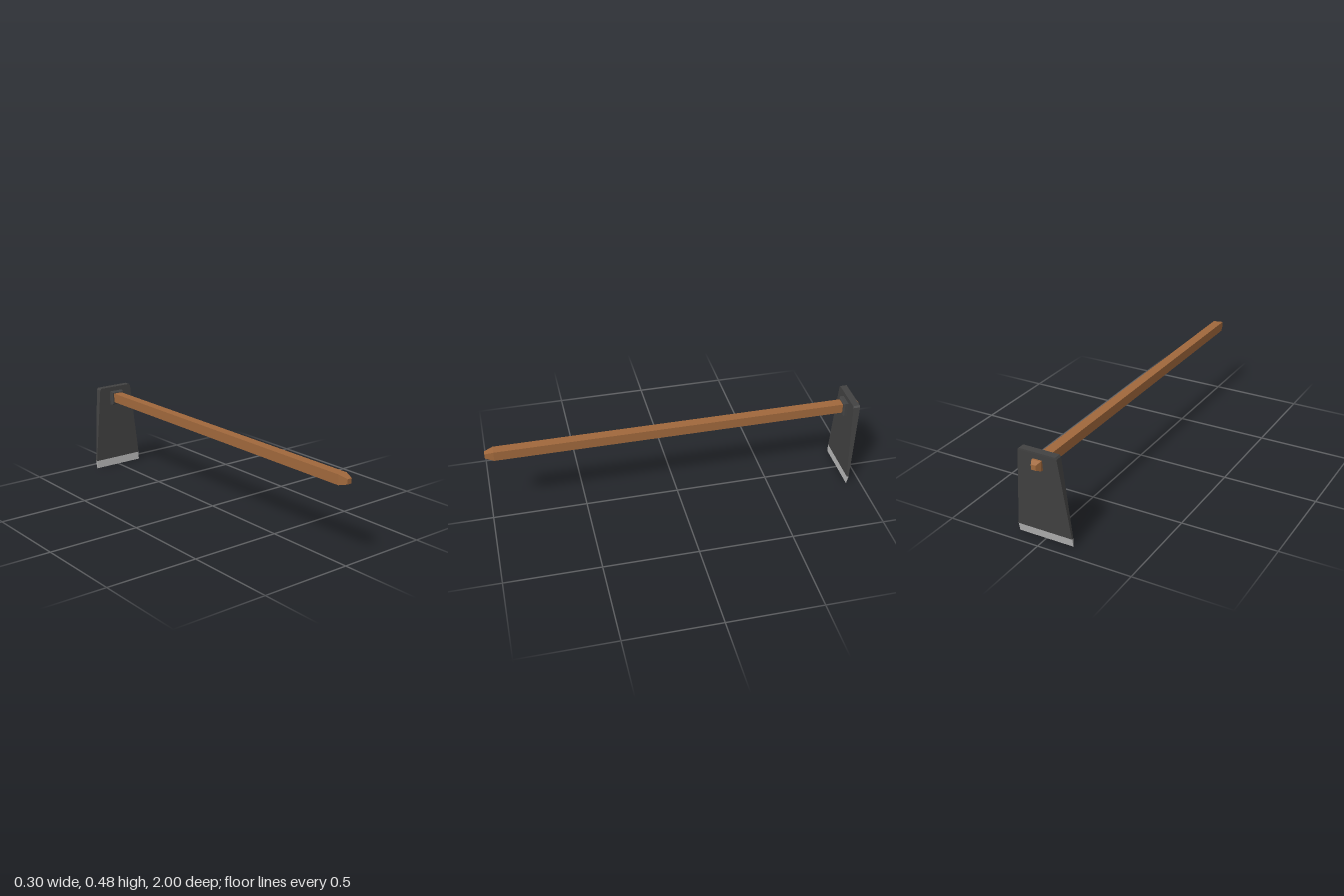
import * as THREE from 'three';

const steel = new THREE.MeshStandardMaterial({ color: 0x424242, flatShading: true });
steel.name = 'dark steel';
const bright = new THREE.MeshStandardMaterial({ color: 0xbababa, flatShading: true });
bright.name = 'ground edge';
const wood = new THREE.MeshStandardMaterial({ color: 0xa0683c, flatShading: true });
wood.name = 'wood';

// Skin a row of four-cornered rings (counter-clockwise seen from the last ring) and cap both ends
function loft(name, rings, material) {
  const pos = [];
  const quad = (a, b, c, d) => [a, b, c, a, c, d].forEach((p) => pos.push(...p));
  for (let i = 0; i < rings.length - 1; i++) {
    const a = rings[i], b = rings[i + 1];
    for (let j = 0; j < 4; j++) {
      const k = (j + 1) % 4;
      quad(a[j], a[k], b[k], b[j]);
    }
  }
  quad(...[...rings[0]].reverse());
  quad(...rings[rings.length - 1]);
  const geo = new THREE.BufferGeometry();
  geo.setAttribute('position', new THREE.Float32BufferAttribute(pos, 3));
  geo.computeVertexNormals();
  const mesh = new THREE.Mesh(geo, material);
  mesh.name = name;
  return mesh;
}

// Square ring across the handle axis
const AXIS_Y = 0.42;
const squareRing = ([z, h, y = AXIS_Y]) =>
  [[h, y - h, z], [h, y + h, z], [-h, y + h, z], [-h, y - h, z]];

// Level ring through the blade: height, half width, front z, back z
const bladeRing = ([y, w, zf, zb]) =>
  [[w, y, zf], [w, y, zb], [-w, y, zb], [-w, y, zf]];

export function createModel() {
  const group = new THREE.Group();
  group.name = 'hoe';

  // Square handle with tapered ends
  group.add(loft('handle',
    [[-1, 0.013], [-0.975, 0.025], [-0.94, 0.026], [0.955, 0.026], [1, 0.013]].map(squareRing), wood));

  // Socket collar with a chamfered front rim
  group.add(loft('collar',
    [[-0.945, 0.039, 0.417], [-0.913, 0.039, 0.417], [-0.905, 0.033, 0.417]].map(squareRing), steel));

  // Wedge blade, thick at the clipped top
  const seam = [0.045, 0.15, -0.923, -0.934];
  group.add(loft('blade',
    [seam, [0.472, 0.105, -0.931, -0.968], [0.481, 0.098, -0.931, -0.968]].map(bladeRing), steel));

  // Sharpened cutting edge
  group.add(loft('cuttingEdge',
    [[0, 0.15, -0.922, -0.924], seam].map(bladeRing), bright));

  return group;
}
